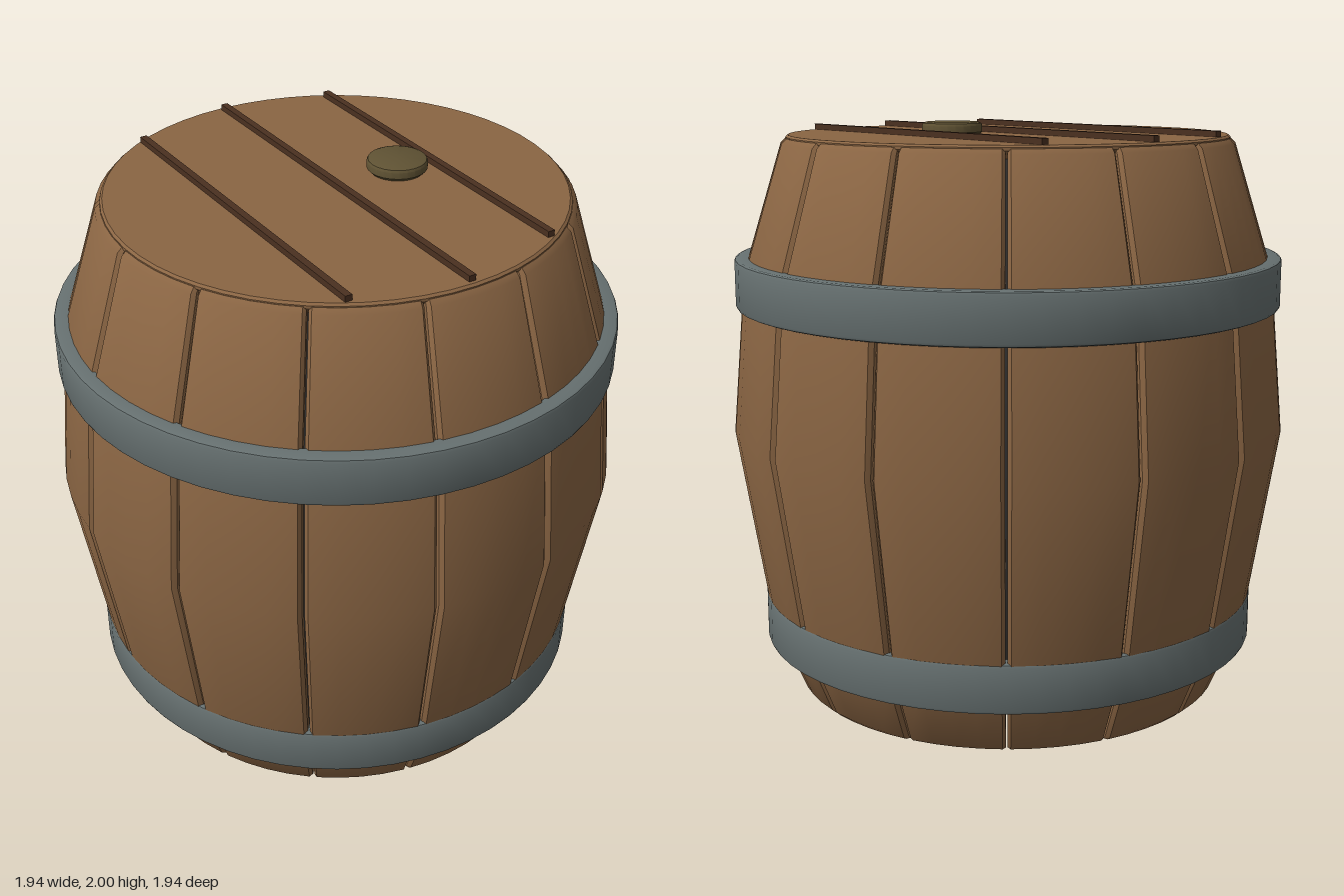
import * as THREE from 'three';
import { toCreasedNormals } from 'three/addons/utils/BufferGeometryUtils.js';

const STAVES = 14;
const HALF = Math.PI / STAVES;

// Outer profile of the barrel: [y, radius]
const PROFILE = [[0, 0.745], [0.014, 0.76], [0.26, 0.862], [0.94, 0.97], [1.48, 0.922], [1.928, 0.782], [1.944, 0.766]];

const mat = (color) => new THREE.MeshStandardMaterial({ color });

function part(name, geometry, material, x = 0, y = 0, z = 0) {
  const mesh = new THREE.Mesh(geometry, material);
  mesh.name = name;
  mesh.position.set(x, y, z);
  return mesh;
}

const crease = (geo, angle = 0.5) => toCreasedNormals(geo, angle);

function lathe(points, segments) {
  return crease(new THREE.LatheGeometry(points.map(([r, y]) => new THREE.Vector2(r, y)), segments));
}

// One curved stave with bevelled long edges, centred on +z
function staveGeometry() {
  const half = HALF - 0.004;
  const bevel = 0.015;
  const steps = [-1, -0.94, -0.47, 0, 0.47, 0.94, 1];
  const n = steps.length, L = n * 2;
  const pos = [], index = [];
  PROFILE.forEach(([y, r]) => {
    const put = (t, rad) => pos.push(rad * Math.sin(t * half), y, rad * Math.cos(t * half));
    steps.forEach((t) => put(t, Math.abs(t) === 1 ? r - bevel : r));
    [...steps].reverse().forEach((t) => put(t, r - 0.07));
  });
  const quad = (a, b, c, d) => index.push(a, b, c, a, c, d);
  const rows = PROFILE.length;
  for (let j = 0; j < rows - 1; j++) {
    for (let i = 0; i < L; i++) {
      const k = (i + 1) % L;
      quad(j * L + i, j * L + k, (j + 1) * L + k, (j + 1) * L + i);
    }
  }
  // End grain
  const top = (rows - 1) * L;
  for (let i = 0; i < n - 1; i++) {
    quad(top + i, top + i + 1, top + L - 2 - i, top + L - 1 - i);
    quad(L - 1 - i, L - 2 - i, i + 1, i);
  }
  const geo = new THREE.BufferGeometry();
  geo.setAttribute('position', new THREE.Float32BufferAttribute(pos, 3));
  geo.setIndex(index);
  return crease(geo);
}

// Metal band with softened edges
function hoopGeometry(outer, inner, height) {
  const b = 0.012;
  return lathe([
    [inner, 0], [outer - b, 0], [outer - b * 0.3, b * 0.3], [outer, b],
    [outer, height - b], [outer - b * 0.3, height - b * 0.3], [outer - b, height],
    [inner, height], [inner, 0],
  ], 56);
}

export function createModel() {
  const model = new THREE.Group();
  model.name = 'barrel';
  const wood = mat(0x8a6543), metal = mat(0x667070);
  const groove = mat(0x4a3020), cork = mat(0x5f5233), dark = mat(0x303030);

  // Staves
  const staves = new THREE.Group();
  staves.name = 'staves';
  const staveGeo = staveGeometry();
  for (let i = 0; i < STAVES; i++) {
    const stave = part('stave', staveGeo, wood);
    stave.rotation.y = i * HALF * 2;
    staves.add(stave);
  }
  model.add(staves);

  // Dark core: recessed bottom, and the shadow between staves
  model.add(part('core', lathe([
    [0, 0.16], [0.775, 0.16], [0.815, 0.26], [0.925, 0.94], [0.877, 1.48], [0.74, 1.92], [0, 1.92],
  ], 56), dark));

  // Hoops
  model.add(part('lowerHoop', hoopGeometry(0.878, 0.81, 0.17), metal, 0, 0.175, 0));
  model.add(part('upperHoop', hoopGeometry(0.952, 0.895, 0.17), metal, 0, 1.37, 0));

  // Lid
  model.add(part('lid', lathe([
    [0, 1.9], [0.73, 1.9], [0.765, 1.938], [0.765, 1.948], [0.757, 1.955], [0, 1.955],
  ], 56), wood));

  // Plank seams on the lid
  [[-0.37, 1.3], [0, 1.49], [0.37, 1.3]].forEach(([x, length]) => {
    model.add(part('lidSeam', new THREE.BoxGeometry(0.024, 0.03, length), groove, x, 1.96, 0));
  });

  // Bung
  model.add(part('bung', lathe([
    [0, 0], [0.09, 0], [0.102, 0.012], [0.102, 0.033], [0.098, 0.041], [0.088, 0.045], [0, 0.045],
  ], 24), cork, 0.24, 1.955, 0));

  return model;
}
